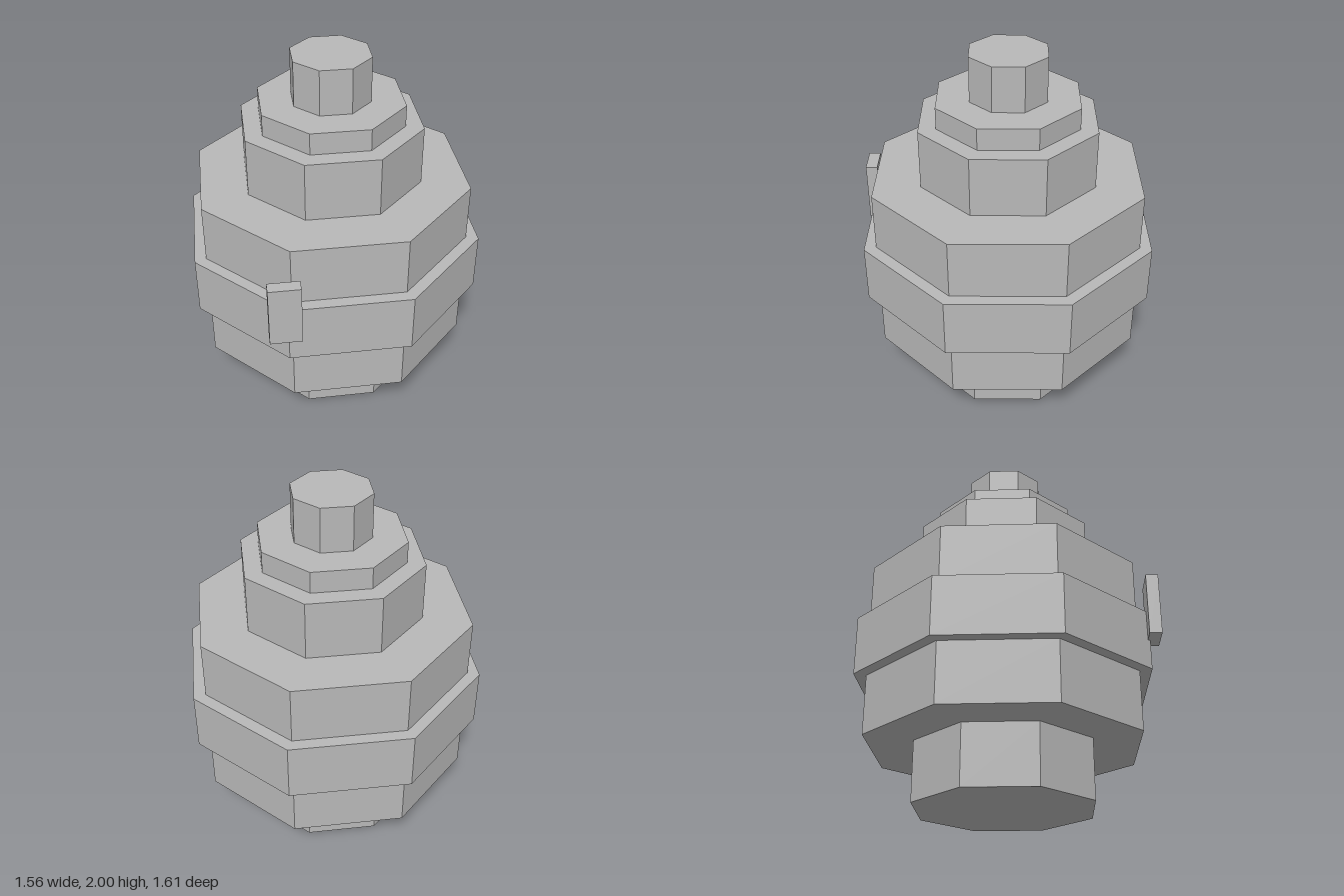
import * as THREE from 'three';

export function createModel() {
  const group = new THREE.Group();
  const grey = new THREE.MeshStandardMaterial({ color: 0xb8b8b8, flatShading: true });
  grey.name = 'grey';

  // Stacked octagonal tiers: name, half width across flats, bottom, top
  const tiers = [
    ['base', 0.467, 0, 0.328],
    ['lowerBody', 0.717, 0.328, 0.655],
    ['middleBand', 0.78, 0.655, 0.98],
    ['upperBody', 0.717, 0.98, 1.302],
    ['shoulder', 0.467, 1.302, 1.63],
    ['collar', 0.375, 1.63, 1.75],
    ['neck', 0.203, 1.75, 2],
  ];
  for (const [name, apothem, y0, y1] of tiers) {
    const radius = apothem / Math.cos(Math.PI / 8);
    const geometry = new THREE.CylinderGeometry(radius, radius, y1 - y0, 8);
    geometry.rotateY(Math.PI / 8); // flat sides face the axes
    const tier = new THREE.Mesh(geometry, grey);
    tier.name = name;
    tier.position.set(name === 'middleBand' ? 0 : -0.002, (y0 + y1) / 2, -0.026);
    group.add(tier);
  }

  // Small off-centre plate on the front
  const plate = new THREE.Mesh(new THREE.BoxGeometry(0.168, 0.34, 0.066), grey);
  plate.name = 'frontPlate';
  plate.position.set(-0.341, 0.985, 0.773);
  group.add(plate);

  return group;
}
